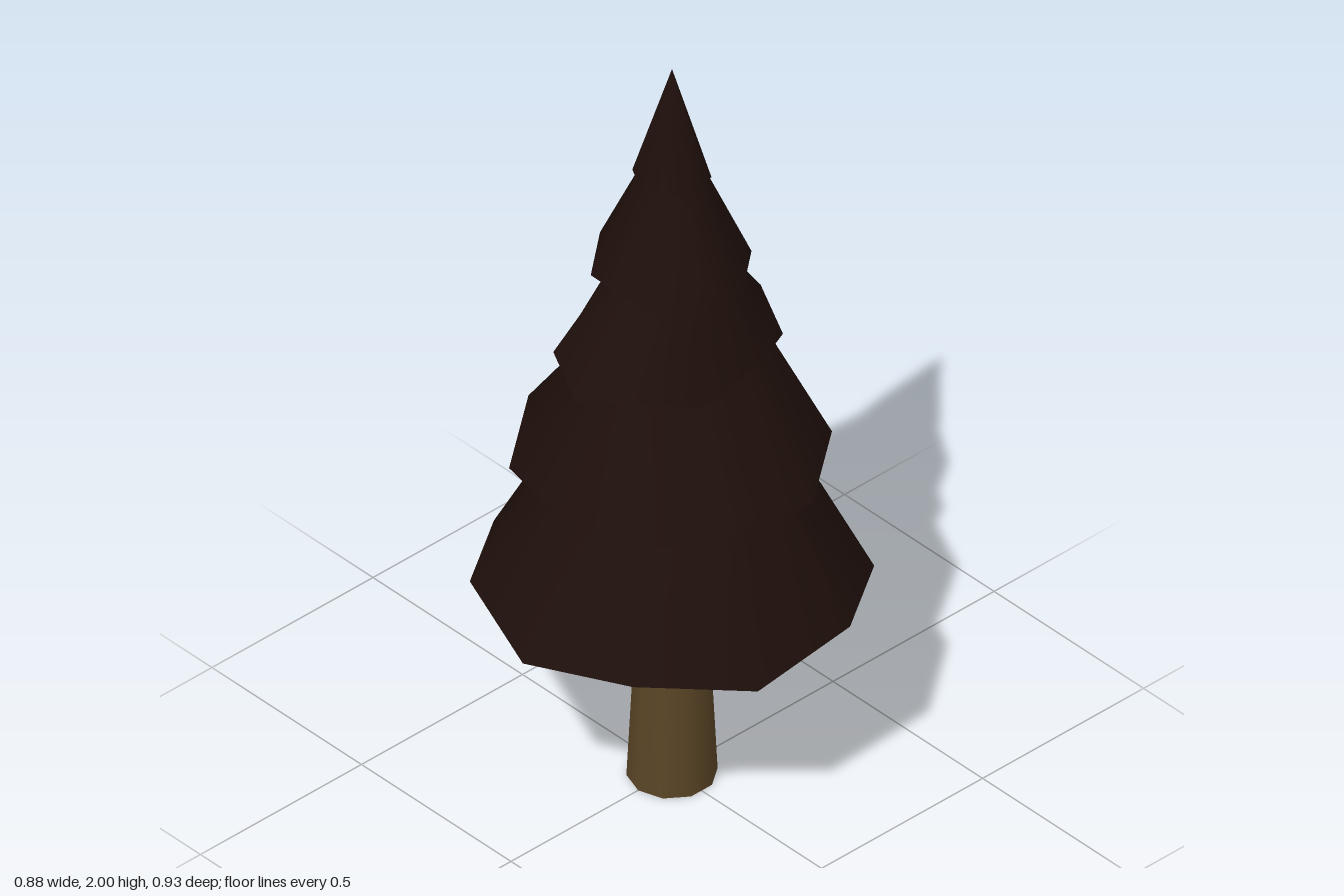
import * as THREE from 'three';

const SIDES = 10;

// ring of points, starting at +z and turning towards +x; y may vary per point
function ring(rx, rz, yAt, cx = 0, cz = 0) {
  return Array.from({ length: SIDES }, (_, i) => {
    const a = (i / SIDES) * Math.PI * 2;
    return [cx + Math.sin(a) * rx, yAt(i), cz + Math.cos(a) * rz];
  });
}

// smooth walls through the rings, closed by sharp-edged fans at both ends
function loft(rings, bottomCentre, topCentre) {
  const pos = [], idx = [];
  rings.forEach((r) => r.forEach((p) => pos.push(...p)));
  for (let k = 0; k < rings.length - 1; k++) {
    for (let i = 0; i < SIDES; i++) {
      const j = (i + 1) % SIDES;
      const a = k * SIDES + i, b = k * SIDES + j;
      idx.push(a, b, b + SIDES, a, b + SIDES, a + SIDES);
    }
  }
  const fan = (r, centre, up) => {
    const start = pos.length / 3;
    r.forEach((p) => pos.push(...p));
    pos.push(...centre);
    for (let i = 0; i < SIDES; i++) {
      const a = start + i, b = start + ((i + 1) % SIDES), c = start + SIDES;
      idx.push(c, up ? a : b, up ? b : a);
    }
  };
  fan(rings[0], bottomCentre, false);
  fan(rings[rings.length - 1], topCentre, true);
  const g = new THREE.BufferGeometry();
  g.setAttribute('position', new THREE.Float32BufferAttribute(pos, 3));
  g.setIndex(idx);
  g.computeVertexNormals();
  return g;
}

export function createModel() {
  const group = new THREE.Group();
  const foliage = new THREE.MeshStandardMaterial({ color: 0x1e0f0b });
  const bark = new THREE.MeshStandardMaterial({ color: 0x5a4526 });

  // foliage tiers: low rim height, rim radii, top height, top radii, x shift
  const tiers = [
    { y: 0.545, rx: 0.464, rz: 0.463, top: 0.97, tx: 0.24, tz: 0.225, cx: 0 },
    { y: 0.895, rx: 0.37, rz: 0.37, top: 1.25, tx: 0.145, tz: 0.22, cx: -0.005 },
    { y: 1.195, rx: 0.228, rz: 0.287, top: 1.48, tx: 0.115, tz: 0.11, cx: -0.013 },
    { y: 1.428, rx: 0.186, rz: 0.183, top: 1.74, tx: 0.062, tz: 0.062, cx: -0.003 },
    { y: 1.685, rx: 0.092, rz: 0.09, top: 2.0, tx: 0.0005, tz: 0.0005, cx: 0 },
  ];
  tiers.forEach((t, n) => {
    // rim points alternate low and high, swapped on every second tier
    const rim = ring(t.rx, t.rz, (i) => t.y + ((i + n) % 2) * 0.038, t.cx);
    const top = ring(t.tx, t.tz, () => t.top);
    // the underside rises to its centre
    const geo = loft([rim, top], [t.cx, t.y + 0.075, 0], [0, t.top, 0]);
    const mesh = new THREE.Mesh(geo, foliage);
    mesh.name = `foliageTier${n + 1}`;
    group.add(mesh);
  });

  // trunk: tapered, with the back of its top broken away into a hollow
  const breakHeights = [0.63, 0.63, 0.63, 0.58, 0.5, 0.46];
  const trunkGeo = loft(
    [
      ring(0.104, 0.105, () => 0),
      ring(0.088, 0.093, () => 0.28),
      ring(0.073, 0.07, (i) => breakHeights[Math.min(i, SIDES - i)], 0, 0.005),
    ],
    [0, 0, 0],
    [0, 0.52, 0.01],
  );
  const trunk = new THREE.Mesh(trunkGeo, bark);
  trunk.name = 'trunk';
  group.add(trunk);

  return group;
}
